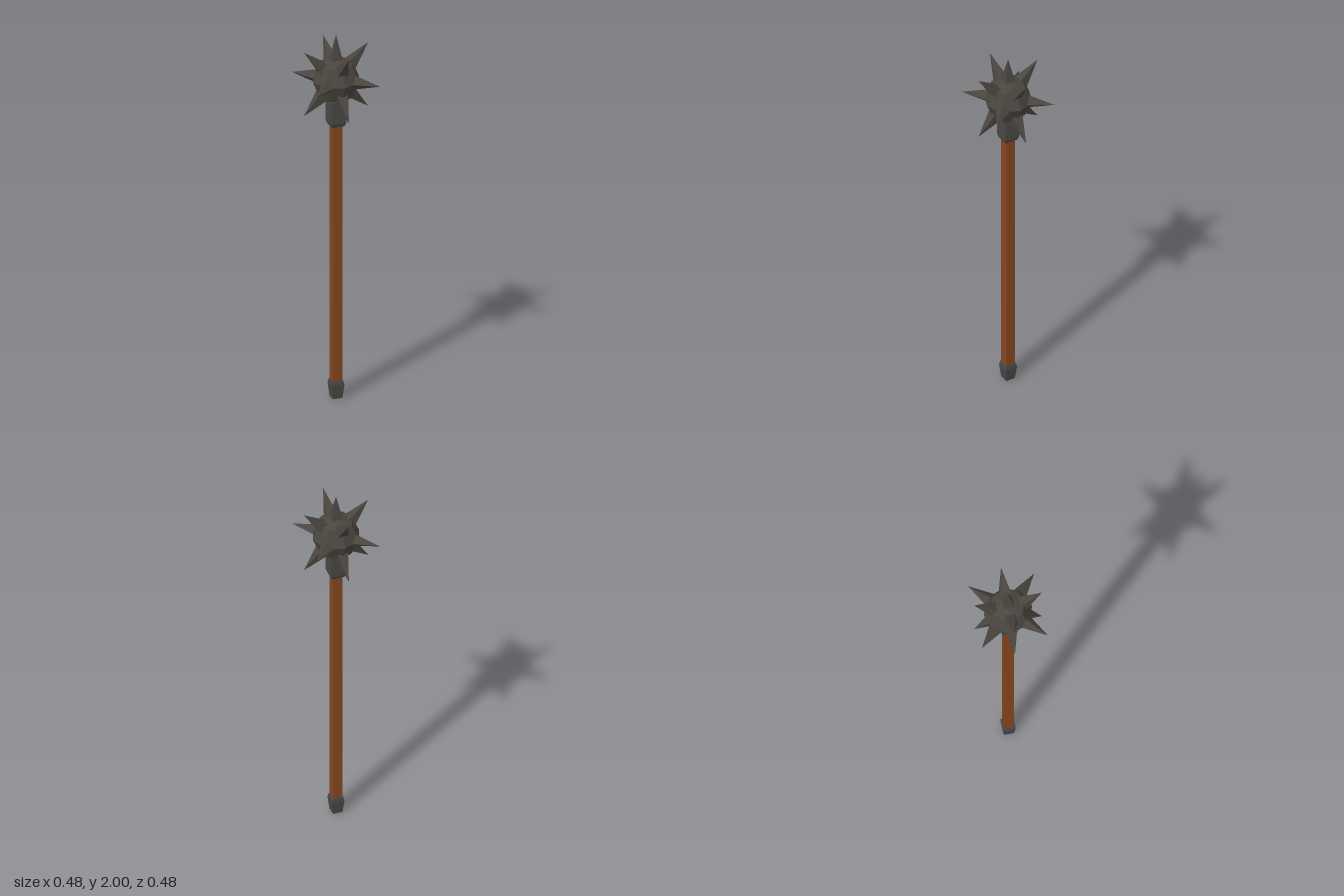
import * as THREE from 'three';

const flat = (name, color) => {
  const m = new THREE.MeshStandardMaterial({ color, flatShading: true });
  m.name = name;
  return m;
};

export function createModel() {
  const group = new THREE.Group();
  const iron = flat('darkIron', 0x4a453f);
  const fitting = flat('greyFitting', 0x484846);
  const wood = flat('brownWood', 0x85461f);
  const headY = 1.754;

  const add = (name, geometry, material, y = 0) => {
    const mesh = new THREE.Mesh(geometry, material);
    mesh.name = name;
    mesh.position.y = y;
    group.add(mesh);
    return mesh;
  };

  // Four-sided turned part with its corners on the x and z axes
  const turned = (name, profile, material) =>
    add(name, new THREE.LatheGeometry(profile.map(([r, y]) => new THREE.Vector2(r, y)), 4), material);

  turned('handle', [[0, 0.05], [0.037, 0.05], [0.037, 1.53], [0, 1.53]], wood);
  turned('pommel', [[0, 0], [0.036, 0], [0.047, 0.075], [0.04, 0.097], [0, 0.097]], fitting);
  turned('collar', [[0, 1.503], [0.048, 1.503], [0.057, 1.522], [0.057, 1.642], [0, 1.642]], fitting);

  // Faceted ball
  add('ball', new THREE.SphereGeometry(0.125, 8, 4), iron, headY);

  // Four-sided spikes pointing out from the ball
  const up = new THREE.Vector3(0, 1, 0);
  const addSpike = (name, direction, reach) => {
    const start = 0.09;
    const length = reach - start;
    const geometry = new THREE.ConeGeometry(length * 0.28, length, 4);
    geometry.translate(0, start + length / 2, 0);
    const spike = add(name, geometry, iron, headY);
    spike.quaternion.setFromUnitVectors(up, direction.normalize());
  };

  addSpike('topSpike', new THREE.Vector3(0, 1, 0), 0.246);
  for (const s of [-1, 1]) {
    addSpike('sideSpike', new THREE.Vector3(s, 0, 0), 0.242);
    addSpike('frontBackSpike', new THREE.Vector3(0, 0, s), 0.242);
    // Slanted spikes at 45 degrees above and below the middle
    for (const t of [-1, 1]) {
      for (const v of [-1, 1]) {
        addSpike('slantedSpike', new THREE.Vector3(s, v * Math.SQRT2, t), 0.248);
      }
    }
  }
  return group;
}
